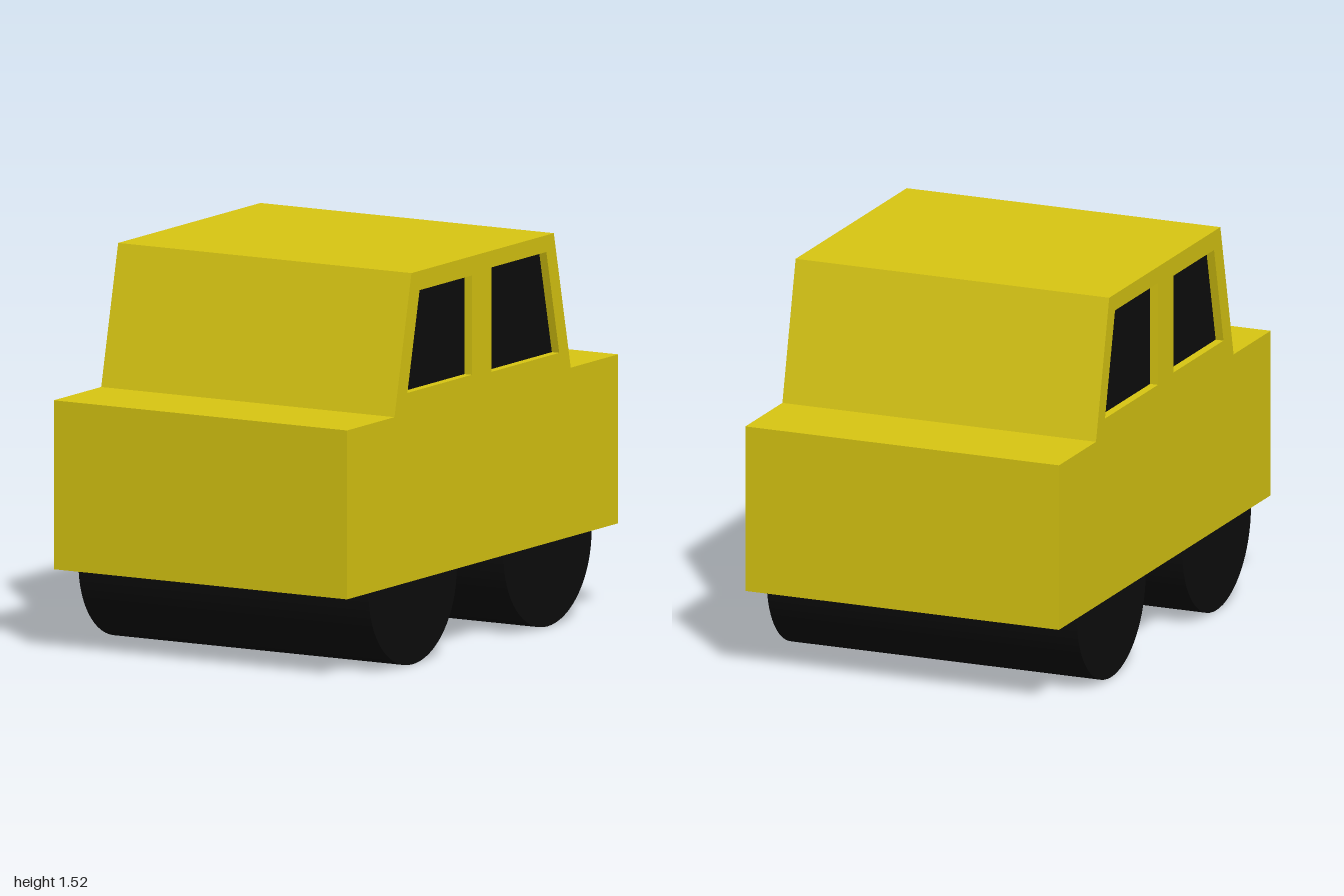
import * as THREE from 'three';

const paint = new THREE.MeshStandardMaterial({ color: 0xd9c712 });
const black = new THREE.MeshStandardMaterial({ color: 0x0d0d0d });

// Side outlines are lists of [z, y]
const toPoints = (list) => list.map(([z, y]) => new THREE.Vector2(z, y));

// Extrude a side outline across the full width, centred on x = 0
function extrudeSide(outline, halfWidth, holes = []) {
  const shape = new THREE.Shape(toPoints(outline));
  shape.holes = holes.map((h) => new THREE.Path(toPoints(h)));
  const geometry = new THREE.ExtrudeGeometry(shape, { depth: halfWidth * 2, bevelEnabled: false });
  return geometry.translate(0, 0, -halfWidth).rotateY(-Math.PI / 2);
}

export function createModel() {
  const car = new THREE.Group();
  car.name = 'car';
  const add = (name, geometry, material) => {
    const mesh = new THREE.Mesh(geometry, material);
    mesh.name = name;
    car.add(mesh);
    return mesh;
  };

  const windows = {
    frontWindow: [[0.08, 1.06], [0.555, 1.06], [0.465, 1.445], [0.08, 1.445]],
    rearWindow: [[-0.565, 1.05], [-0.065, 1.05], [-0.065, 1.455], [-0.47, 1.455]],
  };

  // Body and cabin in one piece, with window openings
  const profile = [
    [-1, 0.325], [1, 0.325], [1, 0.98], [0.65, 0.98],
    [0.525, 1.52], [-0.525, 1.52], [-0.65, 0.98], [-1, 0.98],
  ];
  add('body', extrudeSide(profile, 0.655, Object.values(windows)), paint);

  // Dark glass, set back from both sides
  for (const [name, outline] of Object.entries(windows)) {
    add(name, extrudeSide(outline, 0.622), black);
  }

  // Full-width wheel rollers
  for (const [name, z] of [['frontWheels', 0.505], ['rearWheels', -0.49]]) {
    const roller = new THREE.CylinderGeometry(0.325, 0.325, 1.296, 64).rotateZ(Math.PI / 2);
    add(name, roller, black).position.set(0, 0.325, z);
  }

  return car;
}
